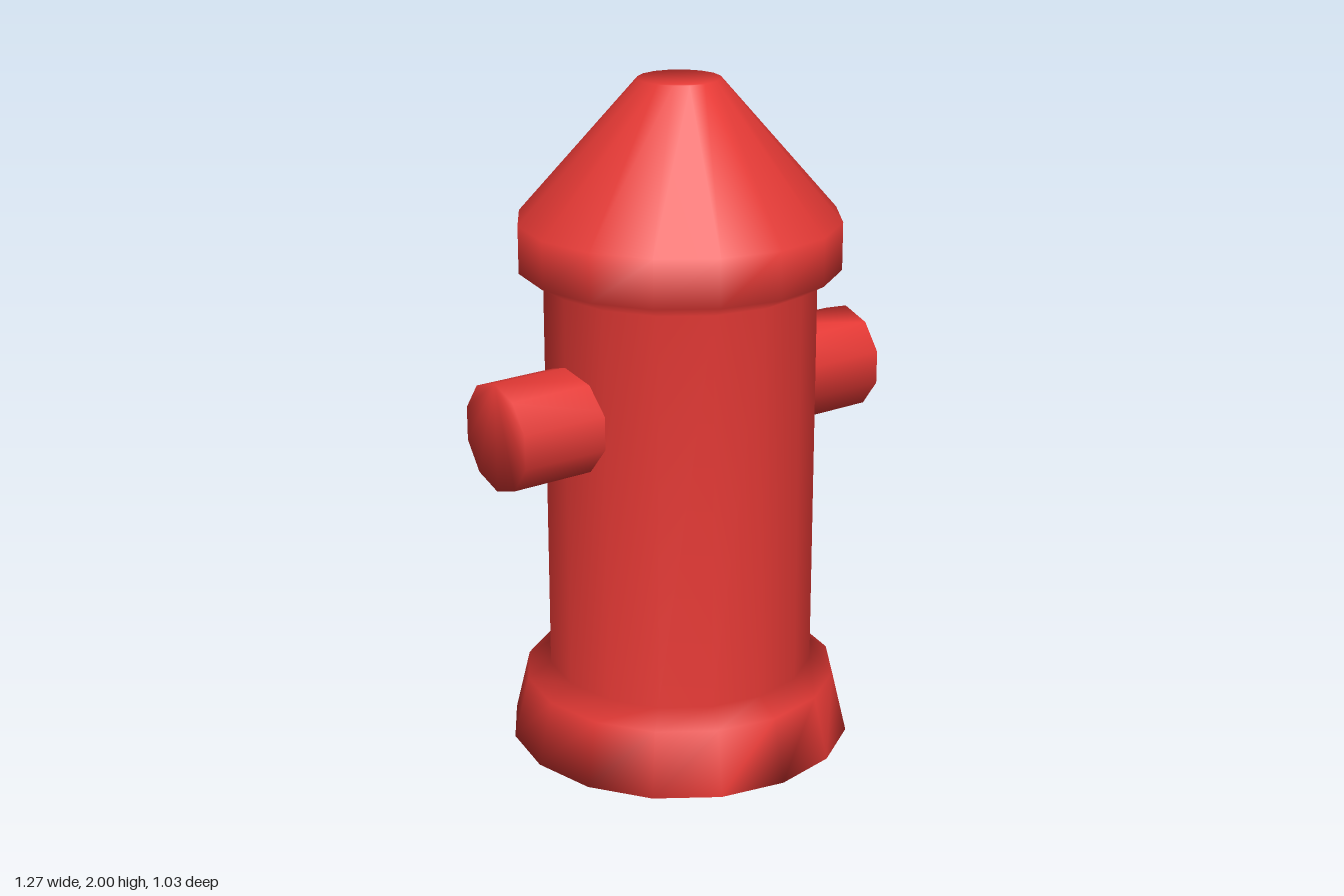
import * as THREE from 'three';

const material = new THREE.MeshStandardMaterial({ color: 0xe53935 });

// Skin a stack of [radius, height] rings with smooth shared normals and fan caps.
function ringSolid(profile, sides, capStart = true) {
  const positions = [];
  const index = [];
  for (const [radius, y] of profile) {
    for (let i = 0; i < sides; i++) {
      const a = (i / sides) * Math.PI * 2;
      positions.push(Math.sin(a) * radius, y, Math.cos(a) * radius);
    }
  }
  for (let r = 0; r < profile.length - 1; r++) {
    for (let i = 0; i < sides; i++) {
      const j = (i + 1) % sides;
      const a = r * sides + i, b = r * sides + j;
      index.push(a, b, b + sides, a, b + sides, a + sides);
    }
  }
  const top = (profile.length - 1) * sides;
  for (let i = 1; i < sides - 1; i++) {
    if (capStart) index.push(0, i + 1, i);
    index.push(top, top + i, top + i + 1);
  }
  const geometry = new THREE.BufferGeometry();
  geometry.setAttribute('position', new THREE.Float32BufferAttribute(positions, 3));
  geometry.setIndex(index);
  geometry.computeVertexNormals();
  return geometry;
}

export function createModel() {
  const model = new THREE.Group();
  model.name = 'fireHydrant';

  // Flared base, barrel and conical bonnet in one continuous skin
  const barrel = new THREE.Mesh(ringSolid([
    [0.515, 0], [0.47, 0.19], [0.4, 0.235],
    [0.4, 1.42], [0.47, 1.46], [0.47, 1.6], [0.12, 2],
  ], 16), material);
  barrel.name = 'barrel';
  model.add(barrel);

  // Side outlets, starting inside the barrel
  const outletGeometry = ringSolid([[0.16, 0.3], [0.16, 0.635]], 10, false);
  outletGeometry.rotateX(-Math.PI / 2); // a corner points up
  outletGeometry.rotateY(Math.PI / 2);
  for (const side of [1, -1]) {
    const outlet = new THREE.Mesh(outletGeometry, material);
    outlet.name = side > 0 ? 'leftOutlet' : 'rightOutlet';
    outlet.position.y = 1.06;
    // rotateX(-90) sends the axis to -z, rotateY(90) then sends it to -x
    outlet.rotation.y = side > 0 ? Math.PI : 0;
    model.add(outlet);
  }
  return model;
}
